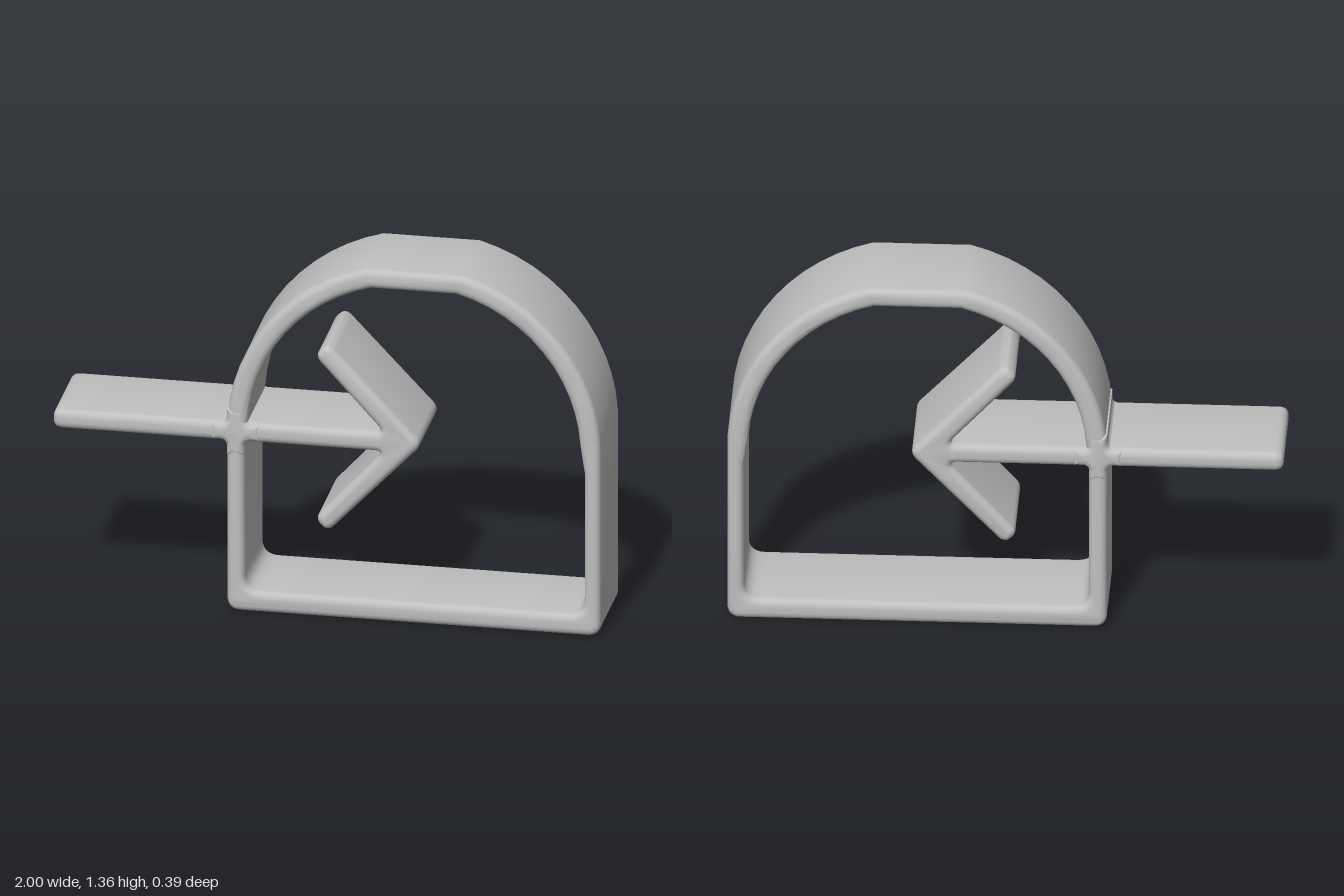
import * as THREE from 'three';
import { toCreasedNormals } from 'three/addons/utils/BufferGeometryUtils.js';

// Closed outline from [x, y, cornerRadius] points; corners are rounded.
function roundedOutline(points, PathType = THREE.Shape) {
  const path = new PathType();
  const n = points.length;
  const toward = (a, b, r) => {
    const v = new THREE.Vector2(b[0] - a[0], b[1] - a[1]);
    const length = v.length();
    return v.multiplyScalar(Math.min(r, length * 0.45) / length).add(new THREE.Vector2(a[0], a[1]));
  };
  points.forEach((p, i) => {
    const r = p[2] || 0;
    const start = r ? toward(p, points[(i + n - 1) % n], r) : new THREE.Vector2(p[0], p[1]);
    if (i === 0) path.moveTo(start.x, start.y);
    else path.lineTo(start.x, start.y);
    if (r) {
      const end = toward(p, points[(i + 1) % n], r);
      path.quadraticCurveTo(p[0], p[1], end.x, end.y);
    }
  });
  path.closePath();
  return path;
}

// Extrude along z with softly rounded edges that stay inside the outline.
function softExtrude(shape, halfDepth, bevel = 0.026) {
  const geometry = new THREE.ExtrudeGeometry(shape, {
    depth: 2 * (halfDepth - bevel),
    bevelEnabled: true,
    bevelThickness: bevel,
    bevelSize: bevel,
    bevelOffset: -bevel,
    bevelSegments: 4,
    curveSegments: 6,
  });
  geometry.translate(0, 0, bevel - halfDepth);
  return toCreasedNormals(geometry, 0.7);
}

// Arch points from right to left, with the crown cut flat.
function archPoints(radius, crown) {
  const centerX = 0.317, centerY = 0.7;
  const limit = Math.asin((crown - centerY) / radius);
  const points = [];
  const steps = 12;
  for (let i = 0; i <= steps; i++) {
    const a = 0.06 + (limit - 0.06) * i / steps;
    points.push([centerX + radius * Math.cos(a), centerY + radius * Math.sin(a)]);
  }
  const left = points.map(([x, y]) => [2 * centerX - x, y]).reverse();
  return points.concat(left);
}

export function createModel() {
  const model = new THREE.Group();
  model.name = 'arrowEnteringArch';
  const grey = new THREE.MeshStandardMaterial({ color: 0xc0c0c0 });
  grey.name = 'light grey';

  const add = (name, geometry) => {
    const mesh = new THREE.Mesh(geometry, grey);
    mesh.name = name;
    model.add(mesh);
  };

  // Arched frame with a flat floor
  const frame = roundedOutline([
    [-0.365, 0, 0.05], [1, 0, 0.05], ...archPoints(0.683, 1.36),
  ]);
  frame.holes.push(roundedOutline([
    [-0.3, 0.08, 0.06], [0.94, 0.08, 0.06], [0.94, 0.63],
    ...archPoints(0.608, 1.288), [-0.3, 0.66],
  ], THREE.Path));
  add('archFrame', softExtrude(frame, 0.19));

  // Arrow: lower half outline mirrored about the shaft line
  const axis = 0.694;
  const lower = [
    [-1, 0.657, 0.035], [0.207, 0.657, 0.035],
    [-0.047, 0.378, 0.036], [0.003, 0.328, 0.036],
  ];
  const upper = lower.map(([x, y, r]) => [x, 2 * axis - y, r]).reverse();
  add('arrow', softExtrude(roundedOutline([...lower, [0.35, axis, 0.04], ...upper]), 0.188));

  // Fillets where the shaft crosses the frame wall
  const cx = -0.333, w = 0.033, reach = 0.09;
  const cross = [];
  for (let i = 0; i < 4; i++) {
    const c = Math.round(Math.cos(i * Math.PI / 2)), s = Math.round(Math.sin(i * Math.PI / 2));
    for (const [x, y, r] of [[reach, -w, 0], [reach, w, 0], [w, w, 0.055]]) {
      cross.push([cx + x * c - y * s, axis + x * s + y * c, r]);
    }
  }
  add('crossingFillet', softExtrude(roundedOutline(cross), 0.193, 0.024));

  return model;
}
